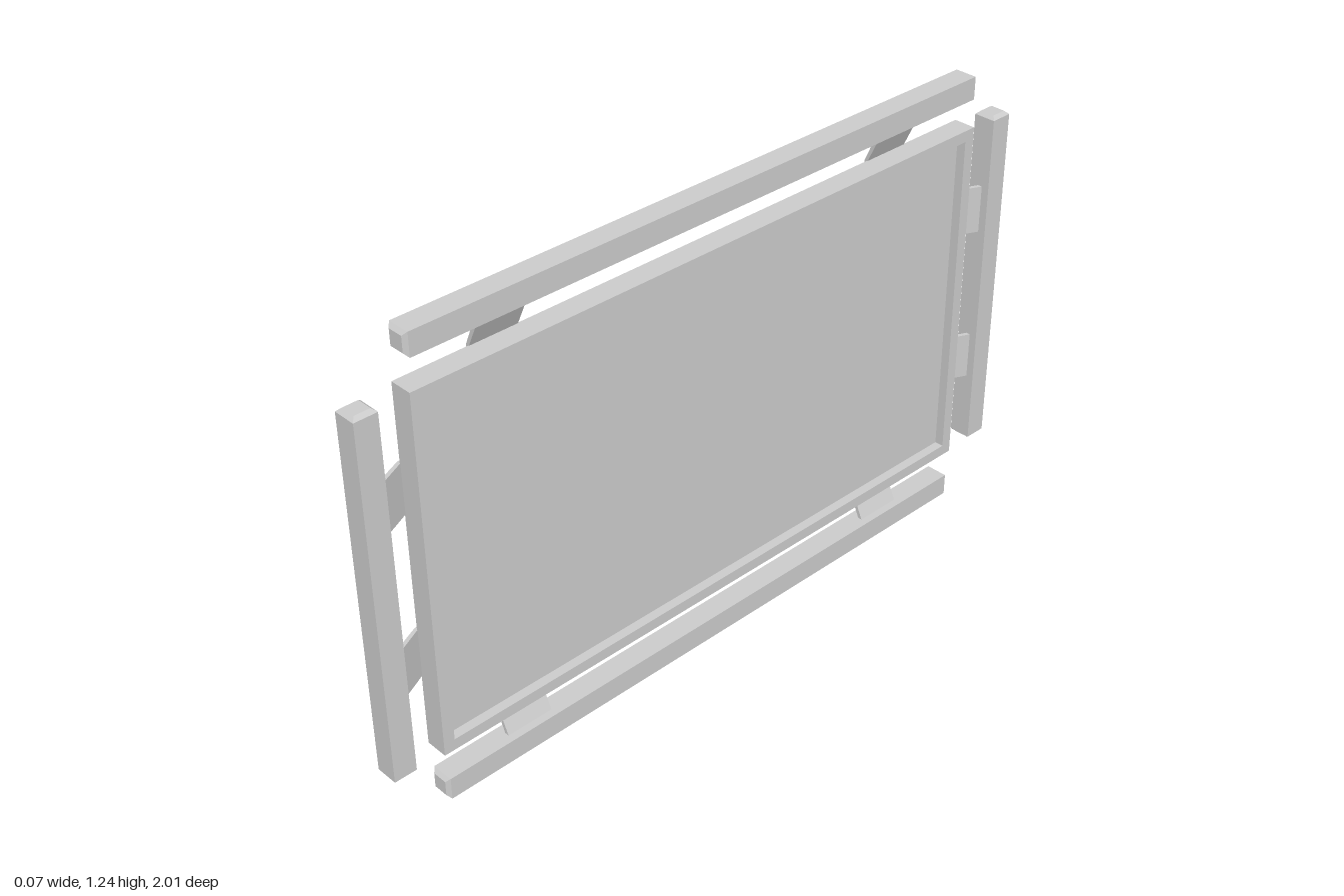
import * as THREE from 'three';

const MID_Y = 0.6225, MID_X = 0.003; // centre of the panel and rails
const H = 0.967, W = 1.73, T = 0.06; // panel height, width and thickness
const RIM = 0.03, RECESS = 0.025, GAP = 0.0775;

// Square bar along z whose two ends taper to a smaller square
function railGeometry(length) {
  const geo = new THREE.BoxGeometry(T, T, length, 1, 1, 3);
  const p = geo.attributes.position;
  for (let i = 0; i < p.count; i++) {
    const z = p.getZ(i), s = Math.sign(z);
    if (Math.abs(z) > length * 0.4) {
      p.setX(i, p.getX(i) * 0.67);
      p.setY(i, p.getY(i) * 0.67);
    } else {
      p.setZ(i, s * (length / 2 - 0.009));
    }
  }
  const flat = geo.toNonIndexed();
  flat.computeVertexNormals();
  return flat;
}

// Bent strap: flat on the panel back, then angled out to the rail (y = outward)
function bracketGeometry() {
  const shape = new THREE.Shape([
    [-0.035, -0.123], [-0.026, -0.123], [-0.026, -0.002],
    [0.014, 0.082], [0.002, 0.082], [-0.035, 0],
  ].map(([x, y]) => new THREE.Vector2(x, y)));
  const geo = new THREE.ExtrudeGeometry(shape, { depth: 0.13, bevelEnabled: false });
  return geo.translate(0, 0, -0.065);
}

export function createModel() {
  const model = new THREE.Group();
  const grey = new THREE.MeshStandardMaterial({ color: 0xcccccc });
  grey.name = 'light grey';

  const add = (name, geo, parent = model) => {
    const mesh = new THREE.Mesh(geo, grey);
    mesh.name = name;
    parent.add(mesh);
    return mesh;
  };
  const rect = (Path, w, h) => new Path([
    [-w / 2, -h / 2], [w / 2, -h / 2], [w / 2, h / 2], [-w / 2, h / 2],
  ].map(([x, y]) => new THREE.Vector2(x, y)));

  // Raised rim around the panel
  const rim = rect(THREE.Shape, W, H);
  rim.holes.push(rect(THREE.Path, W - 2 * RIM, H - 2 * RIM));
  const frame = add('panelFrame', new THREE.ExtrudeGeometry(rim, { depth: T, bevelEnabled: false }));
  frame.rotation.y = Math.PI / 2;
  frame.position.set(MID_X - T / 2, MID_Y, 0);

  // Sunken panel face, flush with the rim at the back
  const panel = add('panel', new THREE.BoxGeometry(T - RECESS, H - 2 * RIM, W - 2 * RIM));
  panel.position.set(MID_X - RECESS / 2, MID_Y, 0);

  // Four sides: each has one rail and two brackets
  const bracket = bracketGeometry();
  const sides = [
    ['top', 0, H, W, 0.605], ['bottom', Math.PI, H, W, 0.605],
    ['left', Math.PI / 2, W, H, 0.22], ['right', -Math.PI / 2, W, H, 0.22],
  ];
  for (const [name, angle, span, length, spread] of sides) {
    const side = new THREE.Group();
    side.name = name + 'Side';
    side.position.y = MID_Y;
    side.rotation.x = angle;
    model.add(side);
    const rail = add(name + 'Rail', railGeometry(length), side);
    rail.position.set(MID_X, span / 2 + GAP + T / 2, 0);
    for (const s of [-1, 1]) {
      add(name + 'Bracket', bracket, side).position.set(0, span / 2, s * spread);
    }
  }
  return model;
}
